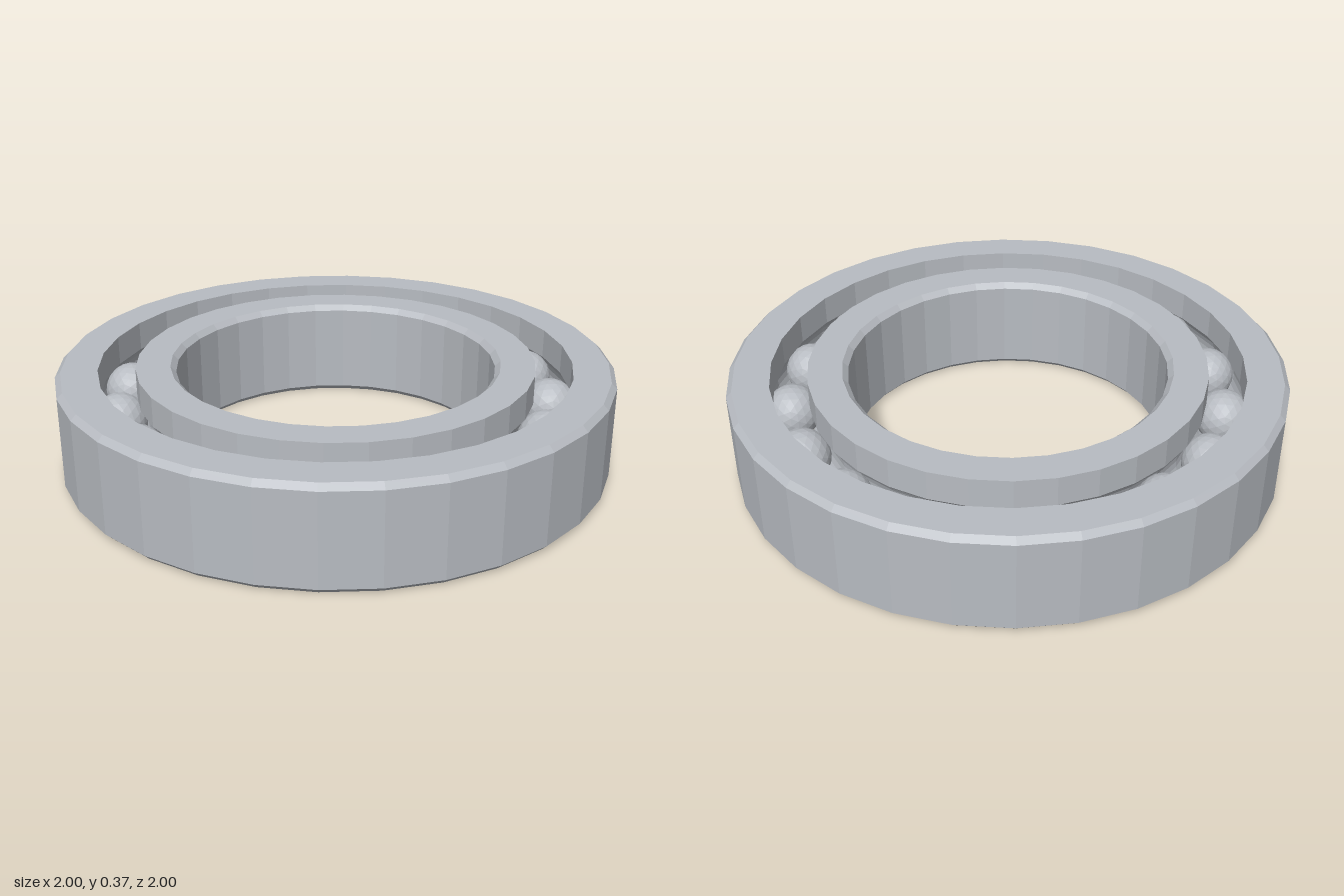
import * as THREE from 'three';

const HEIGHT = 0.37, BEVEL = 0.02, SEGMENTS = 32;
const BALLS = 17, BALL_RADIUS = 0.1, PITCH_RADIUS = 0.784;

// Separate the faces so every facet gets its own normal
function faceted(geometry) {
  const flat = geometry.index ? geometry.toNonIndexed() : geometry;
  flat.computeVertexNormals();
  return flat;
}

// Arc of a ball groove, from angle a to b around the ball centre
function groove(a, b, steps = 8) {
  return Array.from({ length: steps + 1 }, (_, i) => {
    const t = a + (b - a) * i / steps;
    const r = BALL_RADIUS + 0.002;
    return [PITCH_RADIUS + r * Math.cos(t), HEIGHT / 2 + r * Math.sin(t)];
  });
}

// Ring revolved from a closed [radius, height] profile
function ring(name, profile, material) {
  const points = [...profile, profile[0]].map(([r, y]) => new THREE.Vector2(r, y));
  const mesh = new THREE.Mesh(faceted(new THREE.LatheGeometry(points, SEGMENTS)), material);
  mesh.name = name;
  return mesh;
}

export function createModel() {
  const model = new THREE.Group();
  model.name = 'ballBearing';
  const steel = new THREE.MeshStandardMaterial({ color: 0xb8bcc2 });
  steel.name = 'steel';

  // Outer race: bevelled outside, ball groove inside
  const outerHalf = Math.acos((0.85 - PITCH_RADIUS) / (BALL_RADIUS + 0.002));
  model.add(ring('outerRace', [
    [0.85, 0], [1 - BEVEL, 0], [1, BEVEL],
    [1, HEIGHT - BEVEL], [1 - BEVEL, HEIGHT], [0.85, HEIGHT],
    ...groove(outerHalf, -outerHalf),
  ], steel));

  // Inner race: ball groove outside, bevelled bore
  const innerHalf = Math.acos((PITCH_RADIUS - 0.718) / (BALL_RADIUS + 0.002));
  model.add(ring('innerRace', [
    [0.575 + BEVEL, 0], [0.718, 0],
    ...groove(Math.PI + innerHalf, Math.PI - innerHalf),
    [0.718, HEIGHT], [0.575 + BEVEL, HEIGHT],
    [0.575, HEIGHT - BEVEL], [0.575, BEVEL],
  ], steel));

  // Balls evenly spaced between the races
  const balls = new THREE.Group();
  balls.name = 'balls';
  const ballGeometry = faceted(new THREE.IcosahedronGeometry(BALL_RADIUS, 3));
  for (let i = 0; i < BALLS; i++) {
    const angle = i / BALLS * Math.PI * 2;
    const ball = new THREE.Mesh(ballGeometry, steel);
    ball.name = 'ball';
    ball.position.set(PITCH_RADIUS * Math.cos(angle), HEIGHT / 2, PITCH_RADIUS * Math.sin(angle));
    ball.rotation.y = -angle;
    balls.add(ball);
  }
  model.add(balls);
  return model;
}
